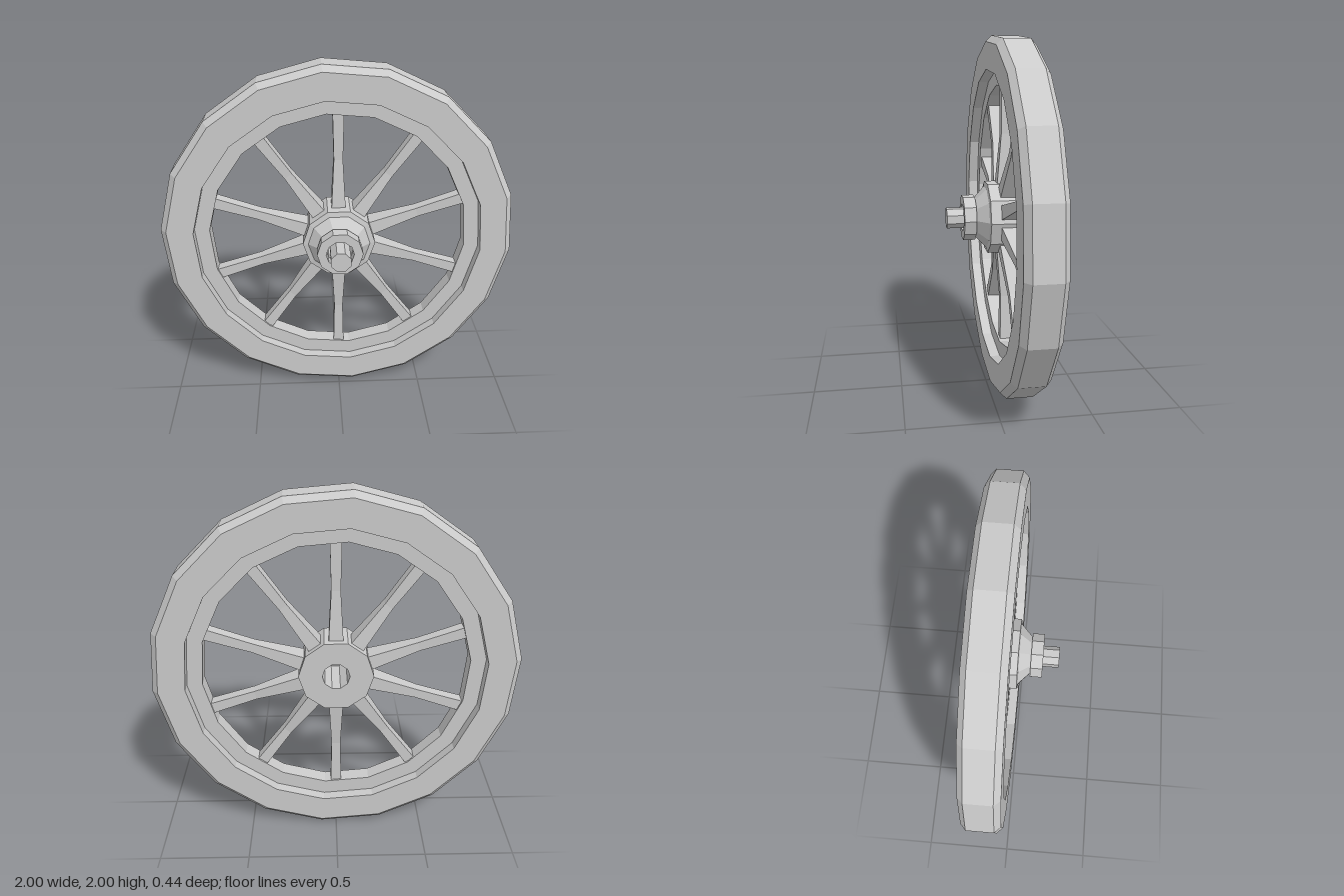
import * as THREE from 'three';

const CENTRE_Y = 1.003;
const material = new THREE.MeshStandardMaterial({ color: 0xcccccc, flatShading: true });

// Low-poly turned part around the wheel axis: profile points are [radius, z],
// going forward along the outside and back along the inside.
function turned(name, profile, sides, startDeg = 0) {
  const points = profile.map(([r, z]) => new THREE.Vector2(r, z));
  const geometry = new THREE.LatheGeometry(points, sides);
  geometry.rotateX(Math.PI / 2);
  geometry.rotateZ(Math.PI / 2 + THREE.MathUtils.degToRad(startDeg));
  const mesh = new THREE.Mesh(geometry, material);
  mesh.name = name;
  return mesh;
}

// Square spoke, thick at the hub, waisted in the middle, slightly flared at the rim
function spokeGeometry() {
  const sections = [
    { r: 0.16, w: 0.082, d: 0.12 },
    { r: 0.47, w: 0.05, d: 0.066 },
    { r: 0.77, w: 0.063, d: 0.07 },
  ];
  const geometry = new THREE.BoxGeometry(1, 2, 1, 1, 2, 1);
  const p = geometry.attributes.position;
  for (let i = 0; i < p.count; i++) {
    const s = sections[Math.round(p.getY(i)) + 1];
    p.setXYZ(i, p.getX(i) * s.w, s.r, p.getZ(i) * s.d);
  }
  geometry.computeVertexNormals();
  return geometry;
}

export function createModel() {
  const model = new THREE.Group();
  model.name = 'spokedWheel';
  const wheel = new THREE.Group();
  wheel.name = 'wheel';
  wheel.position.y = CENTRE_Y;
  model.add(wheel);

  // Outer rim with bevelled edges, and a narrower ring set inside it
  wheel.add(turned('outerRim', [
    [0.82, -0.22], [0.97, -0.22], [1.003, -0.19], [1.003, -0.045],
    [0.97, -0.012], [0.82, -0.012], [0.82, -0.22],
  ], 18, 15));
  wheel.add(turned('innerRim', [
    [0.735, -0.16], [0.84, -0.16], [0.84, -0.07], [0.735, -0.07], [0.735, -0.16],
  ], 18, 15));

  // Ten spokes, one for each flat of the hub
  const spokes = new THREE.Group();
  spokes.name = 'spokes';
  const geometry = spokeGeometry();
  for (let i = 0; i < 10; i++) {
    const spoke = new THREE.Mesh(geometry, material);
    spoke.name = 'spoke';
    spoke.position.z = -0.115;
    spoke.rotation.z = (i * Math.PI) / 5;
    spokes.add(spoke);
  }
  wheel.add(spokes);

  // Hub drum with a tapered nose and a bore right through
  wheel.add(turned('hub', [
    [0.075, -0.21], [0.205, -0.21], [0.205, 0], [0.175, 0.005],
    [0.1, 0.075], [0.075, 0.075], [0.075, -0.21],
  ], 10));

  // Collar on the nose
  wheel.add(turned('collar', [
    [0.078, 0.068], [0.128, 0.068], [0.128, 0.135], [0.078, 0.135], [0.078, 0.068],
  ], 10));

  // Axle end
  wheel.add(turned('axle', [[0, 0.02], [0.059, 0.02], [0.059, 0.225], [0, 0.225]], 8, 22.5));

  return model;
}
